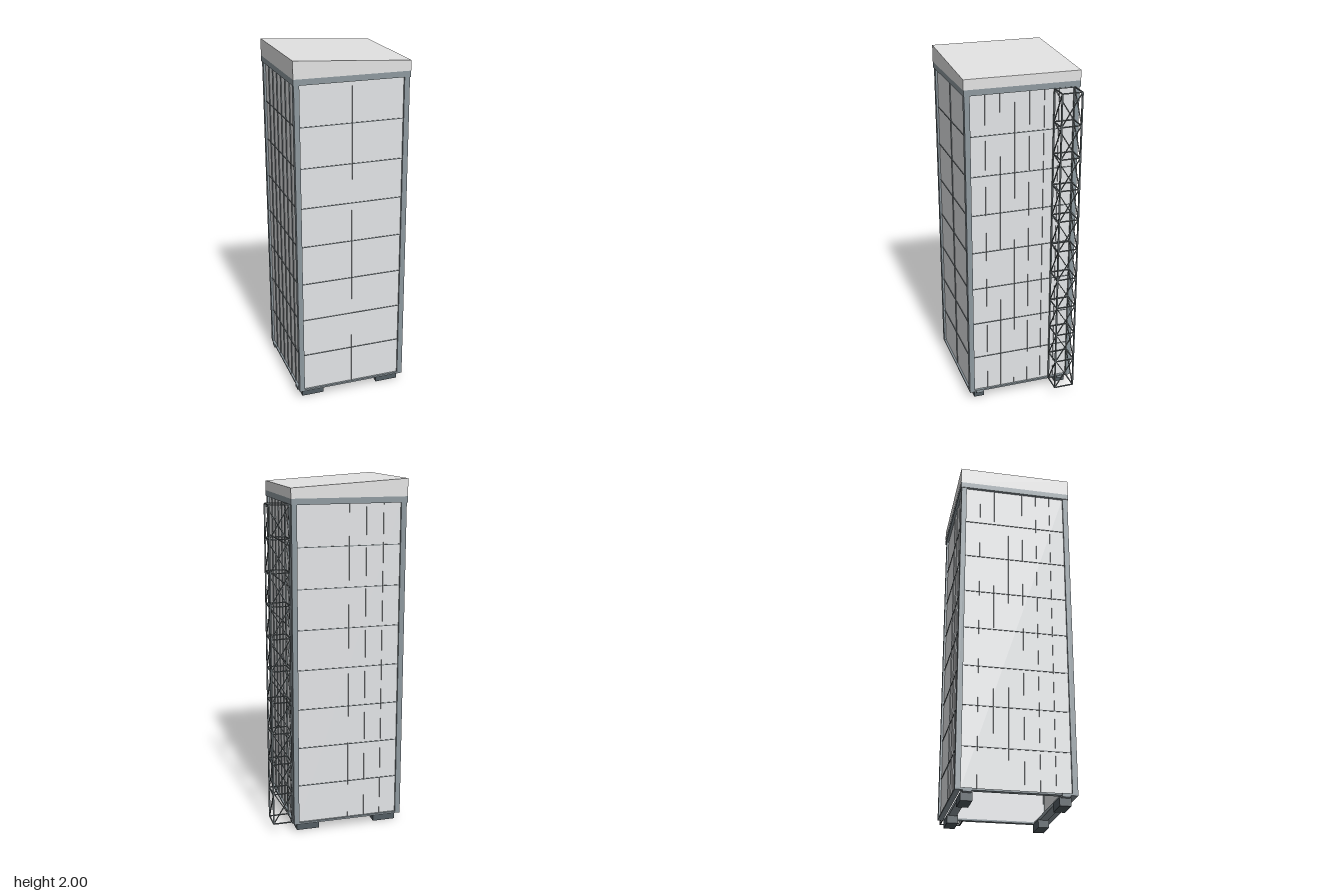
import * as THREE from 'three';

const mat = (name, color, side = THREE.FrontSide) => {
  const m = new THREE.MeshStandardMaterial({ color, side });
  m.name = name;
  return m;
};

export function createModel() {
  const model = new THREE.Group();
  const roofGrey = mat('roofGrey', 0xe2e2e2);
  const panelGrey = mat('panelGrey', 0xe2e4e6);
  const frameGrey = mat('frameGrey', 0x8d989e);
  const seamGrey = mat('seamGrey', 0x70787c, THREE.DoubleSide);
  const footGrey = mat('footGrey', 0x525c62);
  const mastGrey = mat('mastGrey', 0x687073);
  const floorDark = mat('floorDark', 0x3c4245);

  // Shaft limits
  const X0 = -0.379, X1 = 0.263, Z = 0.32, POST = 0.03;
  const CX = (X0 + X1) / 2, W = X1 - X0;
  const Y0 = 0.056, Y1 = 1.871;

  const box = (parent, name, m, x0, x1, y0, y1, z0, z1) => {
    const mesh = new THREE.Mesh(new THREE.BoxGeometry(x1 - x0, y1 - y0, z1 - z0), m);
    mesh.position.set((x0 + x1) / 2, (y0 + y1) / 2, (z0 + z1) / 2);
    mesh.name = name;
    parent.add(mesh);
  };

  // Steel frame: corner posts and the top and bottom rings
  const frame = new THREE.Group();
  frame.name = 'frame';
  model.add(frame);
  for (const x of [X0, X1 - POST]) {
    for (const z of [-Z, Z - POST]) box(frame, 'cornerPost', frameGrey, x, x + POST, Y0, Y1, z, z + POST);
  }
  const ring = (name, y0, y1, o, t) => {
    for (const s of [-1, 1]) {
      const z = s * (Z + o - t / 2), x = CX + s * (W / 2 + o - t / 2);
      box(frame, name, frameGrey, X0 - o, X1 + o, y0, y1, z - t / 2, z + t / 2);
      box(frame, name, frameGrey, x - t / 2, x + t / 2, y0, y1, -Z - o + t, Z + o - t);
    }
  };
  ring('topBeam', Y1, 1.904, 0.004, 0.034);
  ring('bottomBeam', 0.05, 0.06, 0, POST);

  // Sloping roof, extruded along z
  const slope = new THREE.Shape();
  slope.moveTo(-0.383, 1.904);
  slope.lineTo(0.267, 1.904);
  slope.lineTo(0.267, 1.96);
  slope.lineTo(-0.383, 2.0);
  slope.closePath();
  const roof = new THREE.Mesh(
    new THREE.ExtrudeGeometry(slope, { depth: 0.65, bevelEnabled: false }), roofGrey);
  roof.position.z = -0.325;
  roof.name = 'roof';
  model.add(roof);

  // Clad walls: a recessed sheet, eight rows of panels and thin upright fins
  const RECESS = 0.012, ROWS = 8, rowH = (Y1 - Y0) / ROWS;
  const wall = (name, span, dist, turn, fins) => {
    const g = new THREE.Group();
    g.name = name;
    const half = span / 2 - POST, face = dist - RECESS;
    box(g, 'panelSheet', panelGrey, -half, half, Y0, Y1, face - 0.012, face);
    for (let i = 1; i < ROWS; i++) {
      const y = Y0 + i * rowH;
      box(g, 'rowSeam', seamGrey, -half, half, y - 0.002, y + 0.002, face, face + 0.004);
    }
    for (const f of fins) {
      const fin = new THREE.Mesh(new THREE.PlaneGeometry(0.006, Y1 - Y0), seamGrey);
      fin.rotation.y = Math.PI / 2;
      fin.position.set(-half + 2 * half * f, (Y0 + Y1) / 2, face + 0.003);
      fin.name = 'uprightSeam';
      g.add(fin);
    }
    g.rotation.y = turn;
    g.position.x = CX;
    model.add(g);
  };
  const sevenths = [1, 2, 3, 4, 5, 6].map(i => i / 7);
  wall('frontWall', W, Z, 0, [0.5]);
  wall('backWall', W, Z, Math.PI, [3 / 6, 4 / 6, 5 / 6]);
  wall('leftWall', 2 * Z, W / 2, Math.PI / 2, sevenths);
  wall('rightWall', 2 * Z, W / 2, -Math.PI / 2, sevenths);

  // Dark floor inside the shaft, above the open base
  box(model, 'innerFloor', floorDark, X0 + 0.024, X1 - 0.024, 0.27, 0.286, -Z + 0.024, Z - 0.024);

  // Sill beams across the base, each resting on two feet
  for (const z of [-0.257, 0.257]) {
    box(model, 'sillBeam', frameGrey, X0 - 0.003, X1 + 0.003, 0.041, 0.061, z - 0.023, z + 0.023);
    for (const x of [-0.29, 0.174]) box(model, 'foot', footGrey, x - 0.066, x + 0.066, 0, 0.045, z - 0.031, z + 0.031);
  }

  // Lattice mast beside the shaft
  const mast = new THREE.Group();
  mast.name = 'latticeMast';
  model.add(mast);
  const bar = (name, a, b, t) => {
    const mesh = new THREE.Mesh(new THREE.BoxGeometry(t, t, a.distanceTo(b)), mastGrey);
    mesh.position.copy(a).add(b).multiplyScalar(0.5);
    mesh.lookAt(b);
    mesh.name = name;
    mast.add(mesh);
  };
  const corners = [[0.266, -0.1765], [0.377, -0.1765], [0.377, -0.29], [0.266, -0.29]];
  const at = (i, y) => new THREE.Vector3(corners[i % 4][0], y, corners[i % 4][1]);
  const BAYS = 10, bay = (Y1 - Y0) / BAYS;
  for (let i = 0; i < 4; i++) {
    bar('mastPost', at(i, Y0), at(i, Y1), 0.008);
    for (let k = 0; k <= BAYS; k++) {
      const y = Y0 + k * bay;
      bar('mastRung', at(i, y), at(i + 1, y), 0.006);
      if (k < BAYS) bar('mastBrace', at(i, y), at(i + 1, y + bay), 0.005);
    }
  }
  return model;
}
